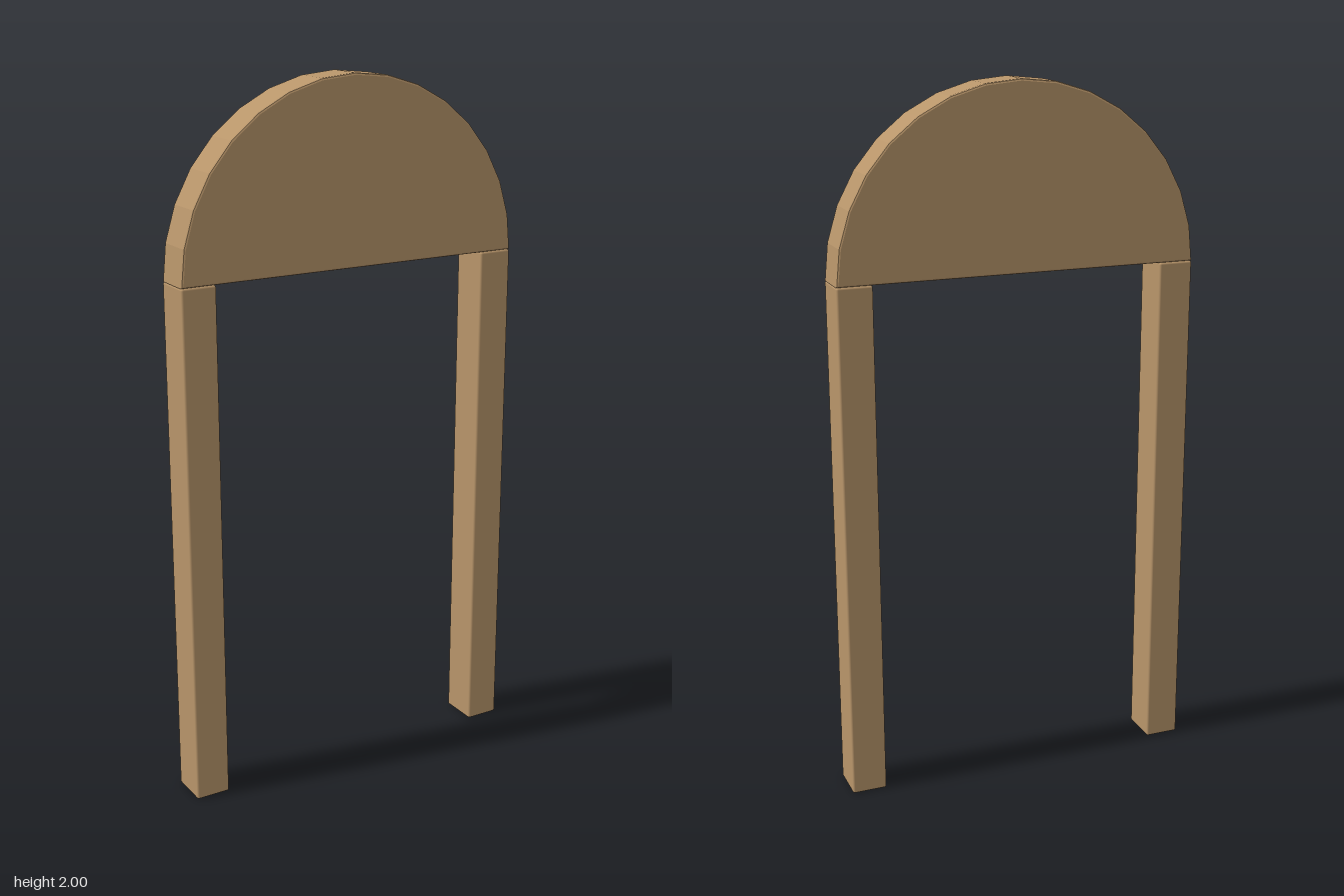
import * as THREE from 'three';
import { RoundedBoxGeometry } from 'three/addons/geometries/RoundedBoxGeometry.js';

const RADIUS = 0.52, SPRING = 1.48, DEPTH = 0.116, POST = 0.1, BEVEL = 0.006;

export function createModel() {
  const group = new THREE.Group();
  const wood = new THREE.MeshStandardMaterial({ color: 0xb8956a });
  wood.name = 'wood';

  // Faceted half-round panel with slightly eased edges
  const outline = new THREE.Shape();
  const steps = 16;
  for (let i = 0; i <= steps; i++) {
    const a = (i / steps) * Math.PI;
    const x = Math.cos(a) * RADIUS, y = Math.sin(a) * RADIUS;
    if (i === 0) outline.moveTo(x, y);
    else outline.lineTo(x, y);
  }
  outline.closePath();
  const panelGeometry = new THREE.ExtrudeGeometry(outline, {
    depth: DEPTH - 2 * BEVEL,
    bevelEnabled: true,
    bevelThickness: BEVEL,
    bevelSize: BEVEL,
    bevelOffset: -BEVEL,
    bevelSegments: 2,
  });
  panelGeometry.translate(0, SPRING, -DEPTH / 2 + BEVEL);
  const panel = new THREE.Mesh(panelGeometry, wood);
  panel.name = 'archPanel';
  group.add(panel);

  // Two square posts under the ends of the panel
  const postGeometry = new RoundedBoxGeometry(POST, SPRING, DEPTH, 2, BEVEL);
  for (const side of [-1, 1]) {
    const post = new THREE.Mesh(postGeometry, wood);
    post.name = side > 0 ? 'leftPost' : 'rightPost';
    post.position.set(side * (RADIUS - POST / 2), SPRING / 2, 0);
    group.add(post);
  }
  return group;
}
